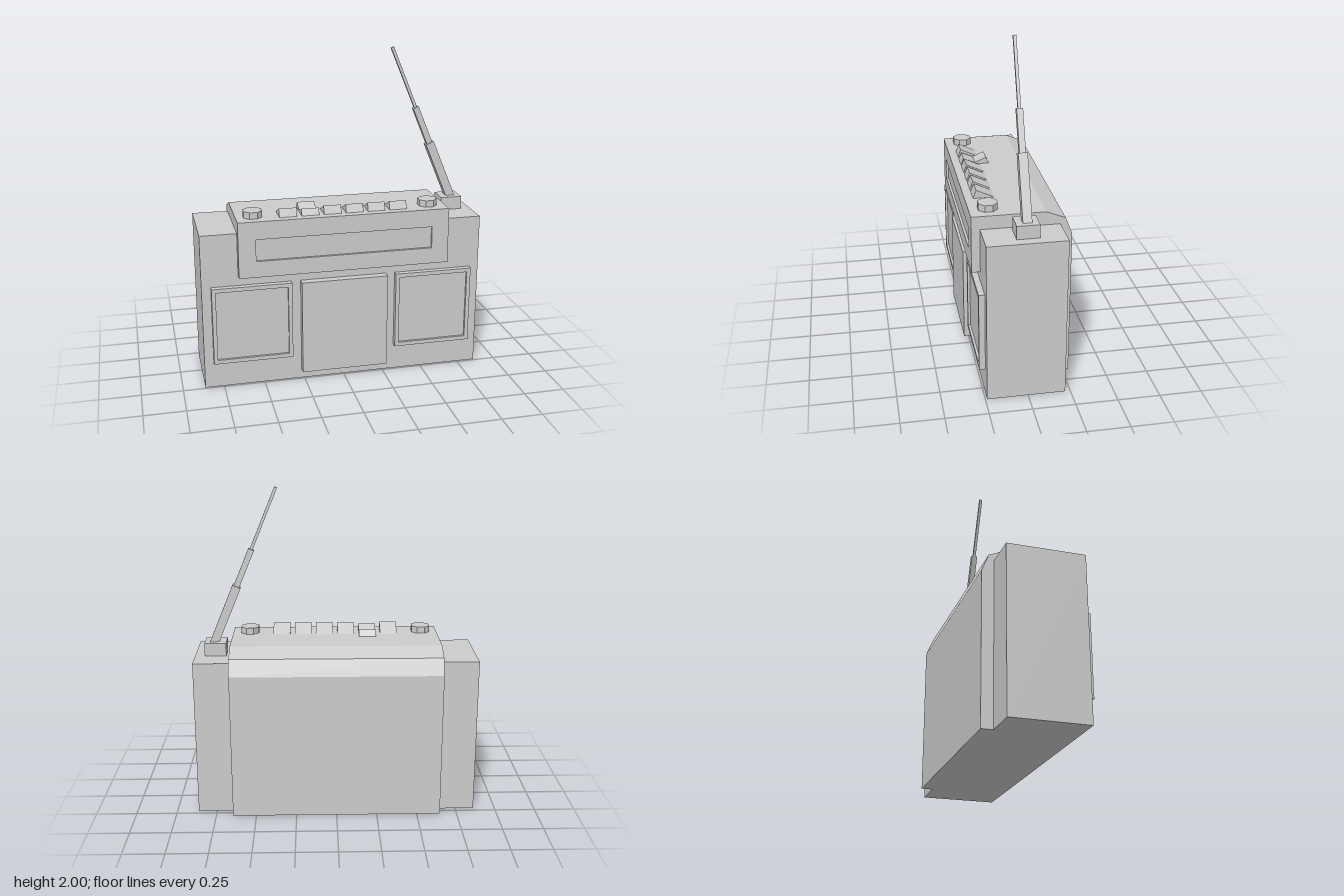
import * as THREE from 'three';

const material = new THREE.MeshStandardMaterial({ color: 0xcccccc, flatShading: true });

export function createModel() {
  const group = new THREE.Group();

  const add = (name, geometry) => {
    const mesh = new THREE.Mesh(geometry, material);
    mesh.name = name;
    group.add(mesh);
    return mesh;
  };

  // Box given by its limits on each axis
  const box = (name, x0, x1, y0, y1, z0, z1) =>
    add(name, new THREE.BoxGeometry(x1 - x0, y1 - y0, z1 - z0)
      .translate((x0 + x1) / 2, (y0 + y1) / 2, (z0 + z1) / 2));

  // Side profile of [z, y] points, swept along x around a centre
  const sweep = (name, profile, width, x) => {
    const shape = new THREE.Shape(profile.map(([z, y]) => new THREE.Vector2(z, y)));
    const geometry = new THREE.ExtrudeGeometry(shape, { depth: width, bevelEnabled: false });
    return add(name, geometry.translate(0, 0, -width / 2).rotateY(-Math.PI / 2).translate(x, 0, 0));
  };

  // Rectangular frame facing +z with a rectangular opening
  const rect = (path, x0, x1, y0, y1) =>
    path.moveTo(x0, y0).lineTo(x1, y0).lineTo(x1, y1).lineTo(x0, y1).closePath();
  const frame = (name, outer, inner, z0, z1) => {
    const shape = rect(new THREE.Shape(), ...outer);
    shape.holes.push(rect(new THREE.Path(), ...inner));
    return add(name, new THREE.ExtrudeGeometry(shape, { depth: z1 - z0, bevelEnabled: false })
      .translate(0, 0, z0));
  };

  // Main case, with the raised centre section that wraps over the top and back
  box('case', -0.865, 0.865, 0, 0.975, -0.22, 0.24);
  sweep('centreHousing', [
    [0.275, 0.71], [0.275, 1.055], [-0.14, 1.055], [-0.25, 1.01],
    [-0.29, 0.91], [-0.29, 0], [-0.22, 0], [-0.22, 0.71],
  ], 1.29, 0);

  // Tuner window, sunk into the front of the housing
  frame('tunerBezel', [-0.645, 0.645, 0.71, 1.055], [-0.54, 0.54, 0.81, 0.945], 0.275, 0.29);

  // Speakers and cassette door
  for (const [name, x] of [['rightSpeaker', -0.567], ['leftSpeaker', 0.564]]) {
    frame(name + 'Frame', [x - 0.242, x + 0.242, 0.165, 0.65],
      [x - 0.218, x + 0.218, 0.19, 0.625], 0.24, 0.275);
    box(name + 'Grille', x - 0.22, x + 0.22, 0.188, 0.627, 0.235, 0.26);
  }
  box('cassetteDoor', -0.268, 0.266, 0.06, 0.65, 0.235, 0.29);

  // Octagonal knobs
  for (const x of [-0.542, 0.538]) {
    add('knob', new THREE.CylinderGeometry(0.06, 0.06, 0.05, 8)
      .rotateY(Math.PI / 8).translate(x, 1.07, 0.18));
  }

  // Piano keys; the second is a two-way rocker
  const key = [[0.242, 1.05], [0.222, 1.105], [0.105, 1.05]];
  const rocker = [[0.242, 1.05], [0.222, 1.095], [0.15, 1.065], [0.08, 1.095], [0.06, 1.05]];
  for (let i = 0; i < 6; i++) {
    sweep(i === 1 ? 'rockerKey' : 'key', i === 1 ? rocker : key, 0.106, -0.3375 + i * 0.135);
  }

  // Telescopic antenna of square rods on a small block
  box('antennaBase', 0.673, 0.805, 0.97, 1.055, -0.07, 0.062);
  const foot = new THREE.Vector3(0.755, 1.03, -0.005);
  const tip = new THREE.Vector3(0.354, 1.997, -0.005);
  const direction = tip.clone().sub(foot).normalize();
  const up = new THREE.Vector3(0, 1, 0);
  for (const [from, to, width] of [[0, 0.383, 0.053], [0.37, 0.617, 0.036], [0.6, 1, 0.018]]) {
    const start = foot.clone().lerp(tip, from);
    const end = foot.clone().lerp(tip, to);
    const rod = add('antennaSection', new THREE.BoxGeometry(width, start.distanceTo(end), width));
    rod.position.copy(start).lerp(end, 0.5);
    rod.quaternion.setFromUnitVectors(up, direction);
  }

  return group;
}
